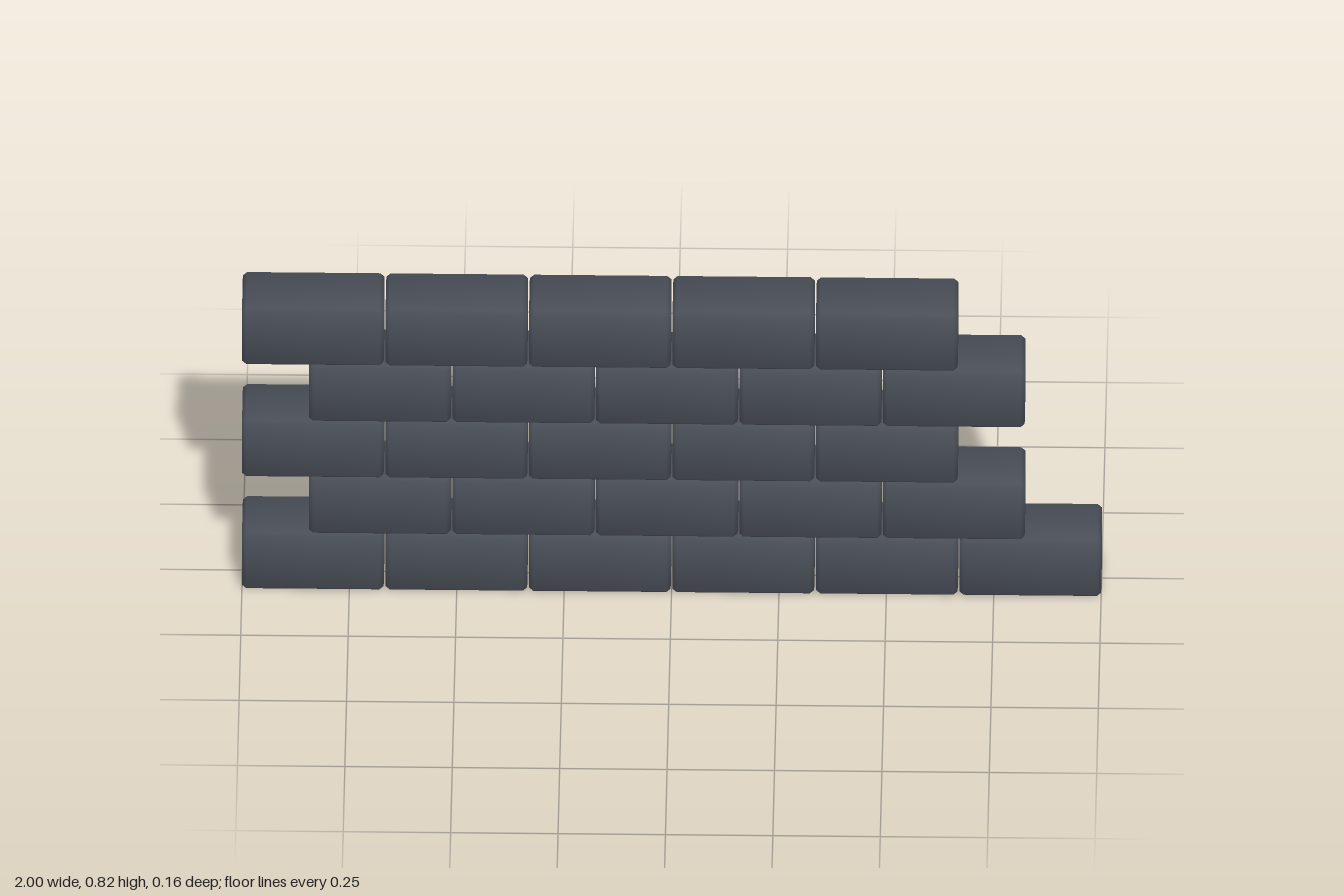
import * as THREE from 'three';
import { ConvexGeometry } from 'three/addons/geometries/ConvexGeometry.js';

const SIZE = [0.33, 0.164, 0.158]; // one brick
const BEVEL = 0.01;
const PITCH_X = 0.334, PITCH_Y = 0.164;

// Chamfered block with softened normals that blend across its bevels
function brickGeometry() {
  const half = SIZE.map((s) => s / 2);
  const points = [];
  for (const sx of [-1, 1]) for (const sy of [-1, 1]) for (const sz of [-1, 1]) {
    const signs = [sx, sy, sz];
    for (let axis = 0; axis < 3; axis++) {
      const p = signs.map((s, i) => s * (half[i] - (i === axis ? 0 : BEVEL)));
      points.push(new THREE.Vector3(...p));
    }
  }
  const geometry = new ConvexGeometry(points);
  const position = geometry.attributes.position, normal = geometry.attributes.normal;
  const v = new THREE.Vector3(), n = new THREE.Vector3();
  for (let i = 0; i < position.count; i++) {
    v.fromBufferAttribute(position, i);
    const c = v.toArray();
    // the axis lying on the outer face leads, the other two lean outward
    n.fromArray(c.map((a, k) => Math.sign(a) * (Math.abs(a) > half[k] - BEVEL / 2 ? 1 : 0.39)));
    n.normalize();
    normal.setXYZ(i, n.x, n.y, n.z);
  }
  return geometry;
}

export function createModel() {
  const wall = new THREE.Group();
  wall.name = 'brickWall';
  const slate = new THREE.MeshStandardMaterial({ color: 0x4a4f58 });
  slate.name = 'slate grey';
  const geometry = brickGeometry();

  // Courses from the ground up, every other one shifted along
  const counts = [6, 5, 5, 5, 5];
  counts.forEach((count, row) => {
    const course = new THREE.Group();
    course.name = `course${row + 1}`;
    const start = -1 + SIZE[0] / 2 + (row % 2 ? 0.156 : 0);
    for (let i = 0; i < count; i++) {
      const brick = new THREE.Mesh(geometry, slate);
      brick.name = `brick${i + 1}`;
      brick.position.set(start + i * PITCH_X, SIZE[1] / 2 + row * PITCH_Y, 0);
      course.add(brick);
    }
    wall.add(course);
  });
  return wall;
}
